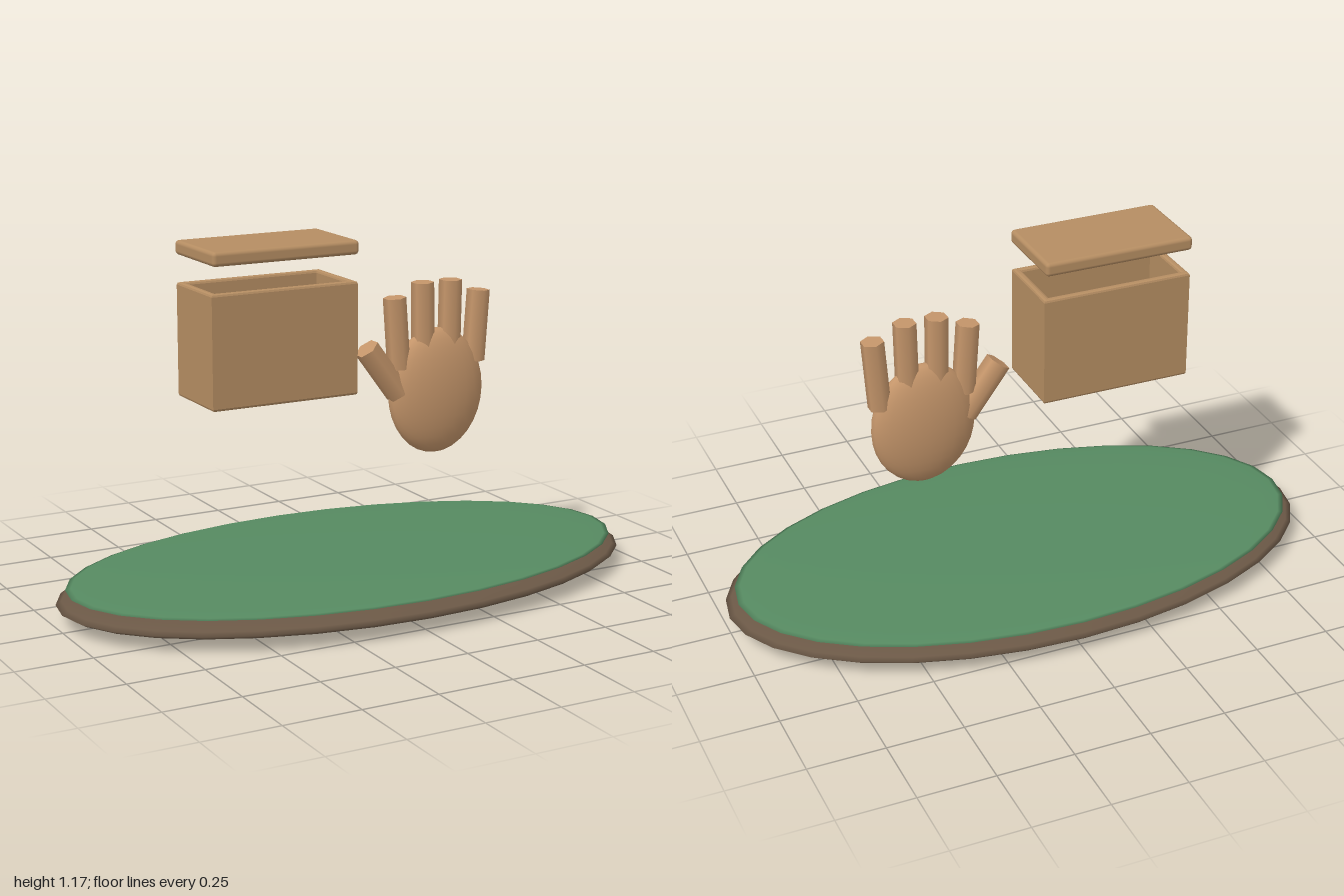
import * as THREE from 'three';
import { RoundedBoxGeometry } from 'three/addons/geometries/RoundedBoxGeometry.js';

const mat = (color) => new THREE.MeshStandardMaterial({ color });

function add(parent, name, geometry, material, x, y, z) {
  const mesh = new THREE.Mesh(geometry, material);
  mesh.name = name;
  mesh.position.set(x, y, z);
  parent.add(mesh);
  return mesh;
}

function ellipsoid(rx, ry, rz, segments, rings) {
  return new THREE.SphereGeometry(1, segments, rings).scale(rx, ry, rz);
}

// Path around a rectangle centred on the origin
function rectangle(path, w, h) {
  path.moveTo(-w / 2, -h / 2);
  path.lineTo(w / 2, -h / 2);
  path.lineTo(w / 2, h / 2);
  path.lineTo(-w / 2, h / 2);
  path.closePath();
  return path;
}

export function createModel() {
  const model = new THREE.Group();
  model.name = 'boxAndHandOverTable';
  const wood = mat(0xb58d62);
  const skin = mat(0xc4956a);

  // Oval table: wooden body with a thin green felt on top
  const table = new THREE.Group();
  table.name = 'table';
  model.add(table);
  add(table, 'tableBody', ellipsoid(1, 0.057, 0.545, 32, 16), mat(0x6b5846), 0, 0.06, 0);
  add(table, 'tableFelt', ellipsoid(0.968, 0.018, 0.527, 32, 16), mat(0x568a61), 0, 0.104, 0);

  // Open box: bevelled wall frame, floor and a floating lid
  const box = new THREE.Group();
  box.name = 'box';
  box.position.x = -0.287;
  model.add(box);
  const width = 0.503, depth = 0.256, bottom = 0.675, top = 1.04;
  const wall = 0.024, bevel = 0.008;
  const outline = rectangle(new THREE.Shape(), width - 2 * bevel, depth - 2 * bevel);
  outline.holes.push(rectangle(new THREE.Path(), width - 2 * (wall - bevel), depth - 2 * (wall - bevel)));
  const walls = new THREE.ExtrudeGeometry(outline, {
    depth: top - bottom - 2 * bevel, bevelEnabled: true,
    bevelSize: bevel, bevelThickness: bevel, bevelSegments: 2,
  });
  walls.rotateX(-Math.PI / 2);
  add(box, 'boxWalls', walls, wood, 0, bottom + bevel, 0);
  const floor = new THREE.BoxGeometry(width - 2 * (wall - bevel), wall, depth - 2 * (wall - bevel));
  add(box, 'boxFloor', floor, wood, 0, bottom + wall / 2, 0);
  add(box, 'boxLid', new RoundedBoxGeometry(width, 0.046, 0.284, 2, 0.013), wood, 0, 1.148, 0);

  // Upright hand: flattened palm with six-sided fingers
  const hand = new THREE.Group();
  hand.name = 'hand';
  model.add(hand);
  add(hand, 'palm', ellipsoid(0.175, 0.21, 0.063, 24, 16), skin, 0.326, 0.626, 0);

  // Each digit: name, base x and y, tip x and y, radius
  const digits = [
    ['thumb', 0.185, 0.63, 0.067, 0.79, 0.042],
    ['indexFinger', 0.187, 0.713, 0.17, 0.948, 0.038],
    ['middleFinger', 0.278, 0.75, 0.274, 0.99, 0.038],
    ['ringFinger', 0.376, 0.75, 0.38, 0.99, 0.038],
    ['littleFinger', 0.47, 0.713, 0.487, 0.948, 0.038],
  ];
  for (const [name, x0, y0, x1, y1, r] of digits) {
    const geometry = new THREE.CylinderGeometry(r, r, Math.hypot(x1 - x0, y1 - y0), 6);
    const digit = add(hand, name, geometry, skin, (x0 + x1) / 2, (y0 + y1) / 2, 0);
    digit.rotation.z = Math.atan2(x0 - x1, y1 - y0);
  }

  return model;
}
